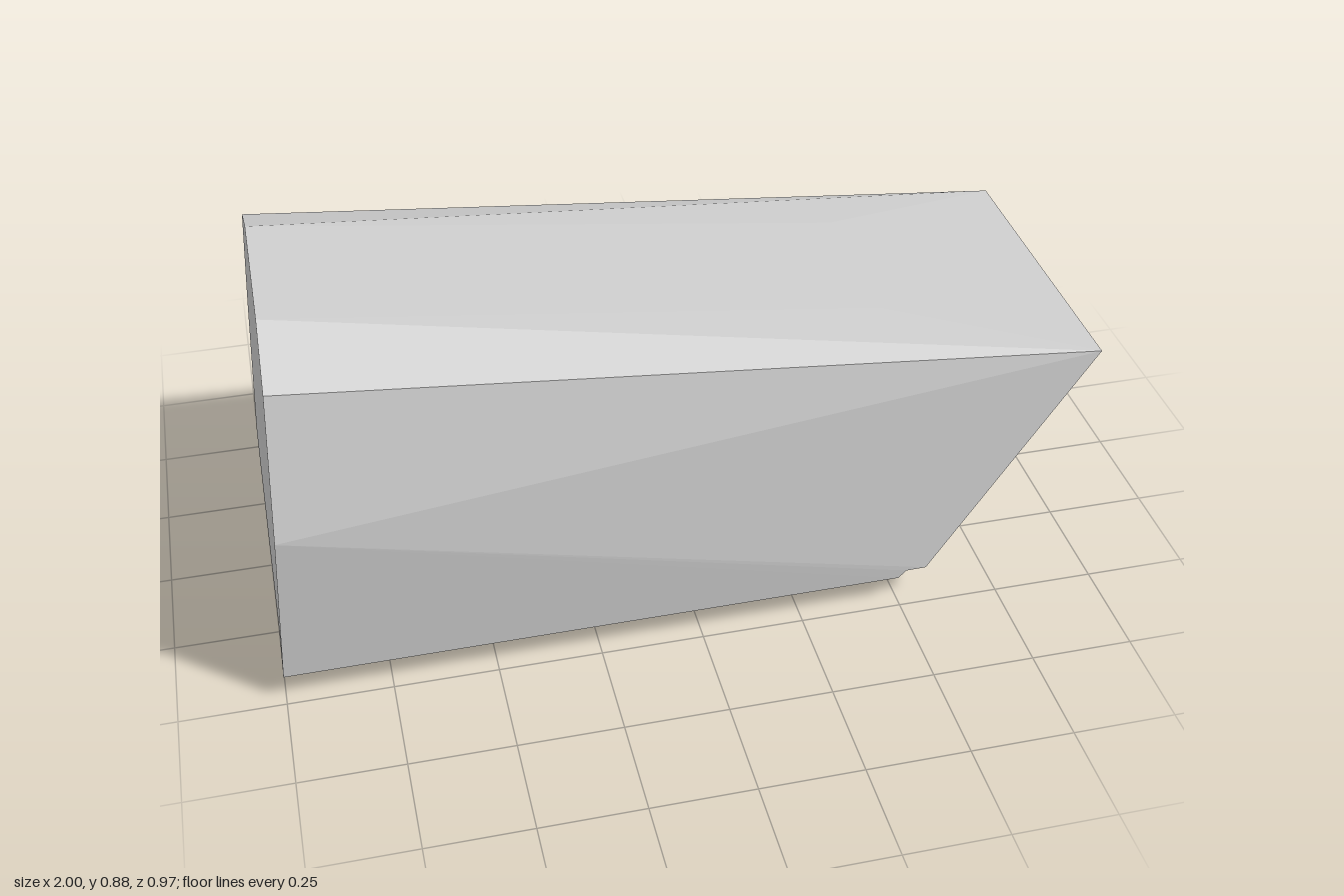
import * as THREE from 'three';

const INSIDE = new THREE.Vector3(0, 0.4, 0);
const mirror = (p) => [p[0], p[1], -p[2]];
const across = (a, b) => [a, b, mirror(b), mirror(a)];

// Flat-shaded mesh from convex polygons, each turned to face away from the inside
function facetMesh(name, polygons, material) {
  const pos = [];
  for (const poly of polygons) {
    const pts = poly.map((p) => new THREE.Vector3(...p));
    for (let i = 1; i < pts.length - 1; i++) {
      const tri = [pts[0], pts[i], pts[i + 1]];
      const t = new THREE.Triangle(...tri);
      const n = t.getNormal(new THREE.Vector3());
      const c = t.getMidpoint(new THREE.Vector3()).sub(INSIDE);
      if (n.dot(c) < 0) tri.reverse();
      tri.forEach((v) => pos.push(v.x, v.y, v.z));
    }
  }
  const g = new THREE.BufferGeometry();
  g.setAttribute('position', new THREE.Float32BufferAttribute(pos, 3));
  g.computeVertexNormals();
  const mesh = new THREE.Mesh(g, material);
  mesh.name = name;
  return mesh;
}

export function createModel() {
  const group = new THREE.Group();
  group.name = 'container';
  const flat = new THREE.MeshStandardMaterial({ color: 0xcccccc, flatShading: true });
  const smooth = new THREE.MeshStandardMaterial({ color: 0xcccccc });

  // Corners of the +z half, the other half is mirrored
  const roofBack = [-0.95, 0.88, 0.2], roofFront = [0.5, 0.69, 0.2];
  const eaveBack = [-0.955, 0.805, 0.385], nose = [1, 0.612, 0.385];
  const waist = [-0.975, 0.475, 0.487];
  const sillBack = [-1, 0.07, 0.48], sillFront = [0.5, 0.07, 0.475];
  const lipIn = [0.52, 0.09, 0.475], lipOut = [0.57, 0.09, 0.474];
  const floorBack = [-1, 0.003, 0.243], floorFront = [0.36, 0.003, 0.243];

  // Roof
  const roofSide = [roofBack, roofFront, nose, eaveBack];
  group.add(facetMesh('roof', [
    across(roofBack, roofFront), across(roofFront, nose),
    roofSide, roofSide.map(mirror),
  ], flat));

  // Side walls
  const wall = [
    [eaveBack, nose, waist], [waist, nose, lipOut],
    [waist, lipOut, lipIn, sillFront], [waist, sillFront, sillBack],
  ];
  group.add(facetMesh('leftWall', wall, flat));
  group.add(facetMesh('rightWall', wall.map((p) => p.map(mirror)), flat));

  // Floor with sloped edges and the lip under the door
  const bilge = [sillBack, sillFront, floorFront, floorBack];
  group.add(facetMesh('floor', [
    across(floorBack, floorFront), across(floorFront, sillFront),
    across(sillFront, lipIn), across(lipIn, lipOut),
    bilge, bilge.map(mirror),
  ], flat));

  // Closed end
  const end = [floorBack, sillBack, waist, eaveBack, roofBack];
  group.add(facetMesh('endPanel', [[...end, ...end.map(mirror).reverse()]], flat));

  // Sloped door: beveled rim and shallow sunken centre.
  // v runs from the bottom edge to the top, d is the offset along the door normal.
  const slope = new THREE.Vector2(nose[0] - lipOut[0], nose[1] - lipOut[1]).normalize();
  const doorPoint = (v, z, d) => [
    THREE.MathUtils.lerp(lipOut[0], nose[0], v) + slope.y * d,
    THREE.MathUtils.lerp(lipOut[1], nose[1], v) - slope.x * d, z];
  const ring = (v0, z0, v1, z1, d) => [
    doorPoint(v0, z0, d), doorPoint(v1, z1, d), doorPoint(v1, -z1, d), doorPoint(v0, -z0, d)];
  const rings = [
    ring(0, 0.474, 1, 0.385, 0),
    ring(0.02, 0.453, 0.965, 0.368, 0.008),
    ring(0.21, 0.26, 0.79, 0.22, -0.012),
  ];
  const door = [rings[2]];
  for (let r = 0; r < 2; r++) {
    for (let i = 0; i < 4; i++) {
      const j = (i + 1) % 4;
      door.push([rings[r][i], rings[r][j], rings[r + 1][j], rings[r + 1][i]]);
    }
  }
  group.add(facetMesh('door', door, flat));

  // Hinges under the door
  for (const side of [1, -1]) {
    const hinge = new THREE.Mesh(new THREE.CylinderGeometry(0.023, 0.023, 0.09, 20), smooth);
    hinge.name = side > 0 ? 'leftHinge' : 'rightHinge';
    hinge.rotation.x = Math.PI / 2;
    hinge.position.set(0.528, 0.069, side * 0.34);
    group.add(hinge);
  }
  return group;
}
